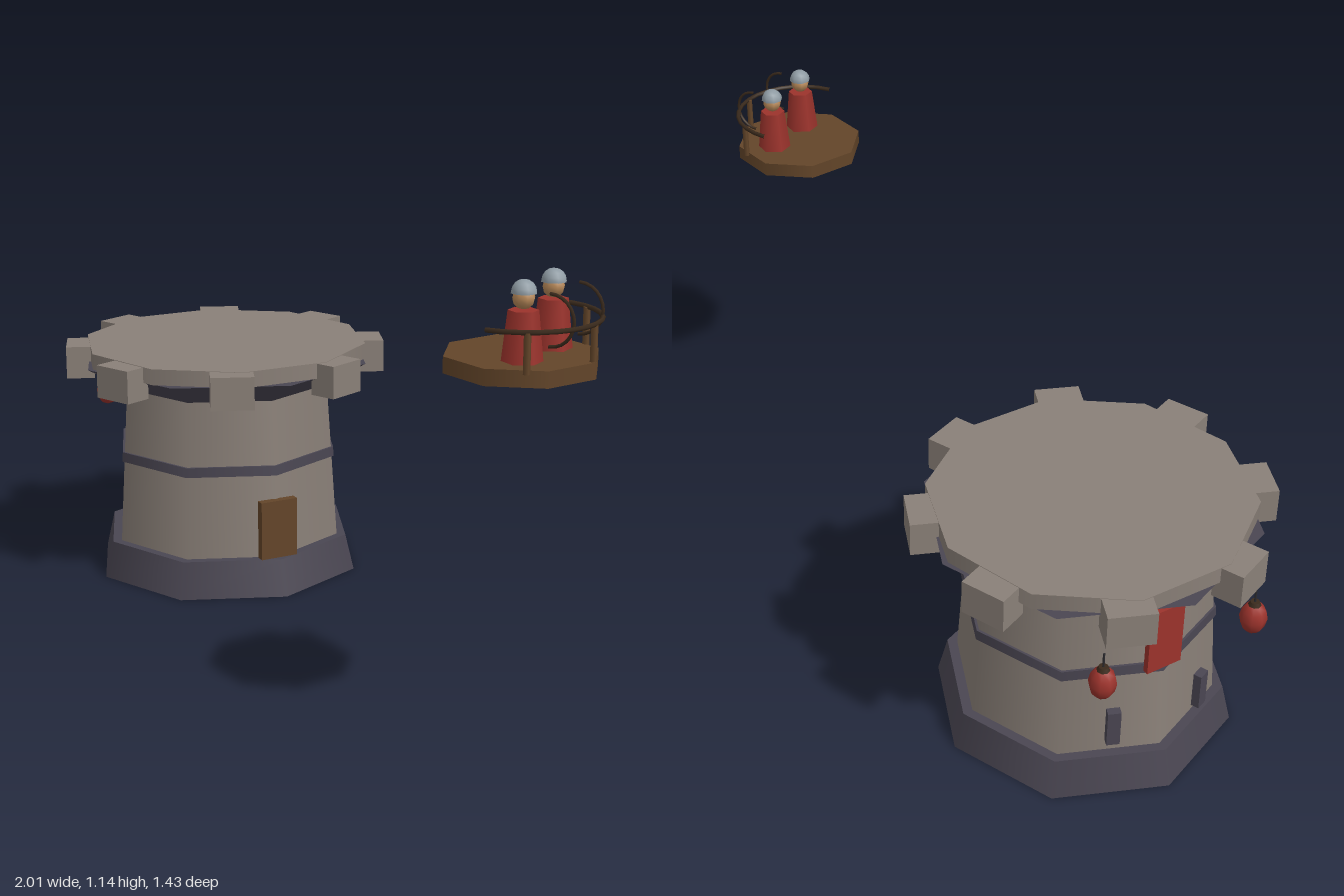
import * as THREE from 'three';

const mat = (color, extra = {}) => new THREE.MeshStandardMaterial({ color, ...extra });
const stone = mat(0x8a8078), slate = mat(0x4a4652), wood = mat(0x634529), darkWood = mat(0x3a2a1c);
const red = mat(0x9c332c), skin = mat(0xb98a5a), steel = mat(0x8f9ba3), iron = mat(0x2c2c30);
const rad = THREE.MathUtils.degToRad;

function add(parent, name, geometry, material, x = 0, y = 0, z = 0) {
  const mesh = new THREE.Mesh(geometry, material);
  mesh.name = name;
  mesh.position.set(x, y, z);
  parent.add(mesh);
  return mesh;
}

// cylinder or cone section standing between two heights
function drum(parent, name, rTop, rBottom, y0, y1, sides, material, x = 0, z = 0) {
  return add(parent, name, new THREE.CylinderGeometry(rTop, rBottom, y1 - y0, sides), material, x, (y0 + y1) / 2, z);
}

// box facing outward at an angle around the tower (0 = local +z)
function radialBox(parent, name, w, h, d, angle, radius, y, material) {
  const a = rad(angle);
  const mesh = add(parent, name, new THREE.BoxGeometry(w, h, d), material, Math.sin(a) * radius, y, Math.cos(a) * radius);
  mesh.rotation.y = a;
  return mesh;
}

function makeLantern(angle) {
  const lantern = new THREE.Group();
  lantern.name = 'lantern';
  const body = add(lantern, 'lanternBody', new THREE.SphereGeometry(0.035, 8, 6), red, 0, 0.46, 0);
  body.scale.y = 1.3;
  drum(lantern, 'lanternCap', 0.012, 0.018, 0.497, 0.51, 8, darkWood);
  drum(lantern, 'lanternCord', 0.003, 0.003, 0.505, 0.55, 5, iron);
  const a = rad(angle);
  lantern.position.set(Math.sin(a) * 0.447, 0, Math.cos(a) * 0.447);
  return lantern;
}

function makeTower() {
  const tower = new THREE.Group();
  tower.name = 'tower';
  // stacked octagonal body
  drum(tower, 'base', 0.37, 0.396, 0, 0.105, 8, slate);
  drum(tower, 'wall', 0.313, 0.343, 0.105, 0.56, 8, stone);
  drum(tower, 'bandCourse', 0.332, 0.334, 0.345, 0.373, 8, slate);
  drum(tower, 'flaredCollar', 0.43, 0.305, 0.555, 0.63, 8, slate);
  drum(tower, 'topDeck', 0.415, 0.415, 0.63, 0.675, 10, stone);
  // battlements on the face centres
  for (let i = 0; i < 8; i++) {
    radialBox(tower, 'merlon', 0.12, 0.093, 0.08, 22.5 + i * 45, 0.422, 0.627, stone);
  }
  // door on one side, banner, slits and lanterns on the opposite side
  radialBox(tower, 'door', 0.112, 0.17, 0.024, 90, 0.339, 0.19, wood);
  radialBox(tower, 'banner', 0.1, 0.187, 0.016, 270, 0.327, 0.452, red);
  for (const s of [-1, 1]) {
    radialBox(tower, 'arrowSlit', 0.034, 0.105, 0.022, 270 + s * 22.5, 0.347, 0.212, slate);
    tower.add(makeLantern(270 + s * 30));
  }
  tower.rotation.y = rad(-30);
  tower.position.set(-0.527, 0, -0.247);
  return tower;
}

function makeArcher(x, z) {
  const archer = new THREE.Group();
  archer.name = 'archer';
  drum(archer, 'tunic', 0.034, 0.046, 0, 0.113, 6, red);
  add(archer, 'head', new THREE.SphereGeometry(0.026, 8, 6), skin, 0, 0.14, 0);
  add(archer, 'helmet', new THREE.SphereGeometry(0.03, 8, 4, 0, Math.PI * 2, 0, Math.PI / 2),
    mat(0x8f9ba3, { side: THREE.DoubleSide }), 0, 0.15, 0);
  // bow bulging away from the archer
  const bow = add(archer, 'bow', new THREE.TorusGeometry(0.058, 0.004, 5, 12, Math.PI), darkWood, 0.062, 0.097, 0);
  bow.rotation.z = -Math.PI / 2;
  archer.position.set(x, 0.038, z);
  return archer;
}

function makePlatform() {
  const platform = new THREE.Group();
  platform.name = 'lookoutPlatform';
  drum(platform, 'floor', 0.18, 0.18, 0, 0.038, 8, wood);
  // half-round railing on three posts
  const rail = add(platform, 'rail', new THREE.TorusGeometry(0.175, 0.006, 5, 14, Math.PI), darkWood, 0, 0.122, 0);
  rail.rotation.set(Math.PI / 2, 0, -Math.PI / 2);
  for (const deg of [-60, 0, 60]) {
    const a = rad(deg);
    drum(platform, 'railPost', 0.008, 0.008, 0.03, 0.122, 6, wood, Math.cos(a) * 0.172, Math.sin(a) * 0.172);
  }
  for (const s of [-1, 1]) platform.add(makeArcher(0.038, s * 0.074));
  platform.position.set(0.82, 0.926, 0.532);
  return platform;
}

export function createModel() {
  const model = new THREE.Group();
  model.name = 'watchtower';
  model.add(makeTower(), makePlatform());
  return model;
}
